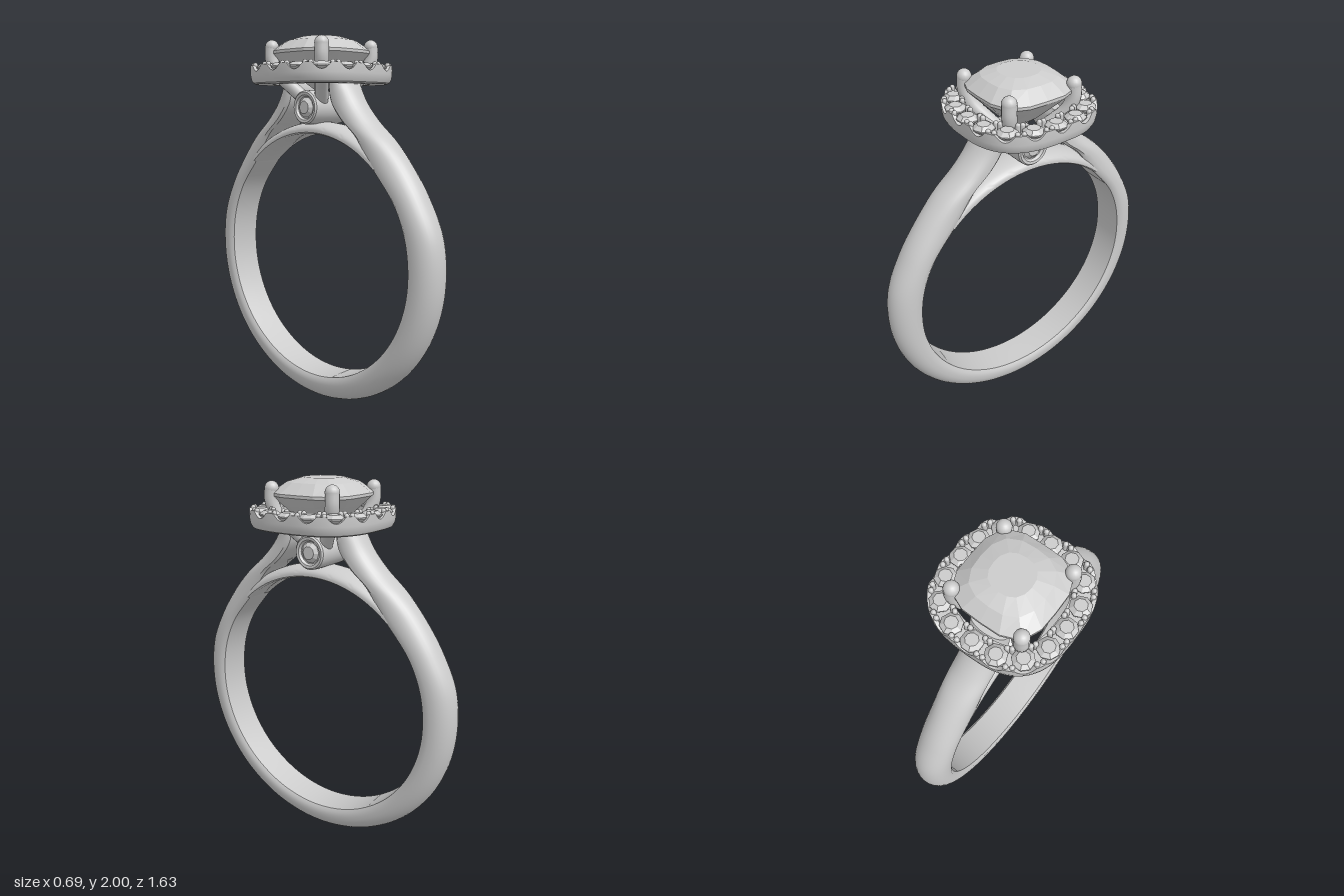
import * as THREE from 'three';
import { toCreasedNormals } from 'three/addons/utils/BufferGeometryUtils.js';

const V = (x, y, z) => new THREE.Vector3(x, y, z);
const smooth = new THREE.MeshStandardMaterial({ color: 0xcccccc });
const faceted = new THREE.MeshStandardMaterial({ color: 0xcccccc, flatShading: true });

function add(parent, name, geometry, material = smooth) {
  const mesh = new THREE.Mesh(geometry, material);
  mesh.name = name;
  parent.add(mesh);
  return mesh;
}

// Skin closed cross-sections; joined links the last to the first, otherwise the ends are capped
function loft(rings, joined = false, crease = 0.7) {
  const n = rings[0].length, m = rings.length, pts = rings.flat(), index = [];
  for (let i = 0; i < (joined ? m : m - 1); i++) {
    for (let j = 0; j < n; j++) {
      const a = i * n + j, b = i * n + (j + 1) % n;
      const c = ((i + 1) % m) * n + j, d = ((i + 1) % m) * n + (j + 1) % n;
      index.push(a, b, c, b, d, c);
    }
  }
  if (!joined) {
    for (const end of [0, m - 1]) {
      const centre = rings[end].reduce((s, p) => s.add(p), V(0, 0, 0)).divideScalar(n);
      pts.push(centre);
      for (let j = 0; j < n; j++) {
        const a = end * n + j, b = end * n + (j + 1) % n, c = pts.length - 1;
        index.push(...(end ? [a, b, c] : [b, a, c]));
      }
    }
  }
  // Signed volume tells whether the faces point outwards
  let volume = 0;
  for (let i = 0; i < index.length; i += 3) {
    volume += pts[index[i]].dot(V(0, 0, 0).crossVectors(pts[index[i + 1]], pts[index[i + 2]]));
  }
  if (volume < 0) index.reverse();
  const g = new THREE.BufferGeometry().setFromPoints(pts);
  g.setIndex(index);
  return toCreasedNormals(g, crease);
}

// Band section: x across, t from the flat inside (0) to the domed outside (1)
const section = [[-0.1, 0.12], [-0.088, 0], [0, -0.01], [0.088, 0], [0.1, 0.12]];
for (let i = 0; i <= 16; i++) {
  const a = Math.PI * i / 16;
  section.push([0.1 * Math.cos(a), 0.3 + 0.7 * Math.sin(a)]);
}
const bandRing = (inner, outer) => section.map(([x, t]) => inner.clone().lerp(outer, t).setX(x));

const CY = 0.817;
const polar = (deg, r) => V(0, CY + r * Math.sin(deg * Math.PI / 180), r * Math.cos(deg * Math.PI / 180));

// Cushion outline: a superellipse sampled evenly along its length, starting at +x
function cushion(r, count, power) {
  const pts = [];
  for (let i = 0; i <= 720; i++) {
    const a = i * Math.PI / 360, c = Math.cos(a), s = Math.sin(a);
    const k = r / Math.pow(Math.abs(c) ** power + Math.abs(s) ** power, 1 / power);
    pts.push(V(k * c, 0, k * s));
  }
  const length = [0];
  for (let i = 1; i < pts.length; i++) length.push(length[i - 1] + pts[i].distanceTo(pts[i - 1]));
  const out = [];
  for (let k = 0, i = 1; k < count; k++) {
    const target = length[720] * k / count;
    while (length[i] < target) i++;
    out.push(pts[i - 1].clone().lerp(pts[i], (target - length[i - 1]) / (length[i] - length[i - 1])));
  }
  return out;
}

function buildBand(group) {
  // Inside and outside [z, y] of the shoulder, from the setting downwards
  const keys = [
    [0.155, 1.78, 0.215, 1.78], [0.143, 1.73, 0.248, 1.73], [0.157, 1.66, 0.302, 1.647],
    [0.22, 1.575, 0.385, 1.557], [0.325, 1.485, 0.505, 1.453], [0.43, 1.345, 0.605, 1.343],
    [0.585, 1.153, 0.708, 1.19],
  ].map(([zi, yi, zo, yo]) => [V(0, yi, zi), V(0, yo, zo)]);
  for (const a of [12, -8, -28, -48, -69, -90]) keys.push([polar(a, 0.675), polar(a, 0.817)]);
  const mirrored = keys.slice(0, -1).reverse().map(k => k.map(p => V(0, p.y, -p.z)));
  const all = keys.concat(mirrored);
  const [inside, outside] = [0, 1].map(s => new THREE.CatmullRomCurve3(all.map(k => k[s])));
  const rings = [];
  for (let i = 0; i <= 192; i++) rings.push(bandRing(inside.getPoint(i / 192), outside.getPoint(i / 192)));
  add(group, 'bandAndShoulders', loft(rings));

  // Arch closing the finger hole below the setting
  const arch = [];
  for (let i = 0; i <= 48; i++) {
    const a = 48 + 84 * i / 48;
    arch.push(bandRing(polar(a, 0.675), polar(a, 0.738)));
  }
  add(group, 'bridge', loft(arch));
}

function buildBezel(group) {
  const body = [[0, -0.1], [0.085, -0.1], [0.09, -0.09], [0.09, 0.09], [0.088, 0.122], [0.08, 0.13],
    [0.066, 0.128], [0.058, 0.115], [0, 0.115]];
  // Collar with a lip at both ends
  const full = body.slice(3).reverse().map(([r, y]) => new THREE.Vector2(r, -y))
    .concat(body.slice(3).map(([r, y]) => new THREE.Vector2(r, y)));
  const collar = add(group, 'sideBezel', toCreasedNormals(new THREE.LatheGeometry(full, 40), 0.6));
  collar.rotation.z = -Math.PI / 2;
  collar.position.y = 1.63;
  for (const s of [-1, 1]) {
    const stone = add(group, 'sideStone', new THREE.CylinderGeometry(0.034, 0.057, 0.02, 10), faceted);
    stone.rotation.z = -s * Math.PI / 2;
    stone.position.set(s * 0.122, 1.63, 0);
  }
}

function buildHalo(group) {
  const COUNT = 16, STEP = 12, N = COUNT * STEP;
  // Profile as [half size, y]; 'top' follows the scalloped edge
  const profile = [[0.318, 1.75], [0.332, 1.757], [0.341, 1.775], [0.345, 1.8], [0.345, 'top'],
    [0.327, 'top'], [0.322, 1.812], [0.25, 1.812], [0.248, 1.835], [0.236, 1.835], [0.236, 1.75]];
  const loops = profile.map(([r]) => cushion(r, N, 2.75));
  const rings = [];
  for (let i = 0; i < N; i++) {
    const d = Math.min(i % STEP, STEP - i % STEP) / (STEP / 2);
    const top = 1.815 + 0.032 * Math.min(1, (d / 0.65) ** 2);
    rings.push(profile.map(([, y], j) => loops[j][i].clone().setY(y === 'top' ? top : y)));
  }
  add(group, 'haloFrame', loft(rings, true, 0.6));

  // Accent stones, with a pair of beads on both edges of each gap
  const stoneProfile = [[0, 1.78], [0.054, 1.83], [0.054, 1.836], [0.032, 1.853], [0, 1.853]]
    .map(([r, y]) => new THREE.Vector2(r, y));
  for (const p of cushion(0.291, COUNT, 2.75)) {
    const stone = add(group, 'haloStone', new THREE.LatheGeometry(stoneProfile, 8), faceted);
    stone.position.set(p.x, 0, p.z);
    stone.rotation.y = -Math.atan2(p.z, p.x) + Math.PI / 8;
  }
  for (const r of [0.25, 0.329]) {
    const spots = cushion(r, N, 2.75);
    for (let k = 0; k < COUNT; k++) {
      for (const off of [-1.3, 1.3]) {
        const f = k * STEP + STEP / 2 + off, i = Math.floor(f);
        const p = spots[i].clone().lerp(spots[(i + 1) % N], f - i);
        const bead = add(group, 'haloBead', new THREE.CapsuleGeometry(0.013, 0.04, 4, 10));
        bead.position.set(p.x, 1.828, p.z);
      }
    }
  }
}

function buildCentre(group) {
  // Cushion-cut gem: [half size, y, corner power]
  const levels = [[0.004, 1.7, 2], [0.1, 1.775, 2.4], [0.19, 1.865, 3], [0.23, 1.91, 3.6], [0.23, 1.925, 3.6],
    [0.17, 1.978, 2.8], [0.1, 2.0, 2.4]];
  const rings = levels.map(([r, y, power]) => cushion(r, 16, power).map(p => p.setY(y)));
  add(group, 'centreGem', loft(rings, false, 0.01), faceted);

  // Claws rise from the base of the setting and fold over the gem corners
  for (const sx of [-1, 1]) {
    for (const sz of [-1, 1]) {
      const path = new THREE.CatmullRomCurve3([[0.05, 1.66], [0.11, 1.735], [0.165, 1.81], [0.187, 1.88], [0.187, 1.945]]
        .map(([d, y]) => V(sx * d, y, sz * d)));
      add(group, 'claw', new THREE.TubeGeometry(path, 24, 0.036, 14));
      const tip = add(group, 'clawTip', new THREE.SphereGeometry(0.037, 18, 12));
      tip.position.set(sx * 0.186, 1.947, sz * 0.186);
    }
  }
}

export function createModel() {
  const model = new THREE.Group();
  model.name = 'haloRing';
  const parts = { band: buildBand, bezel: buildBezel, halo: buildHalo, centreSetting: buildCentre };
  for (const [name, build] of Object.entries(parts)) {
    const group = new THREE.Group();
    group.name = name;
    build(group);
    model.add(group);
  }
  return model;
}
